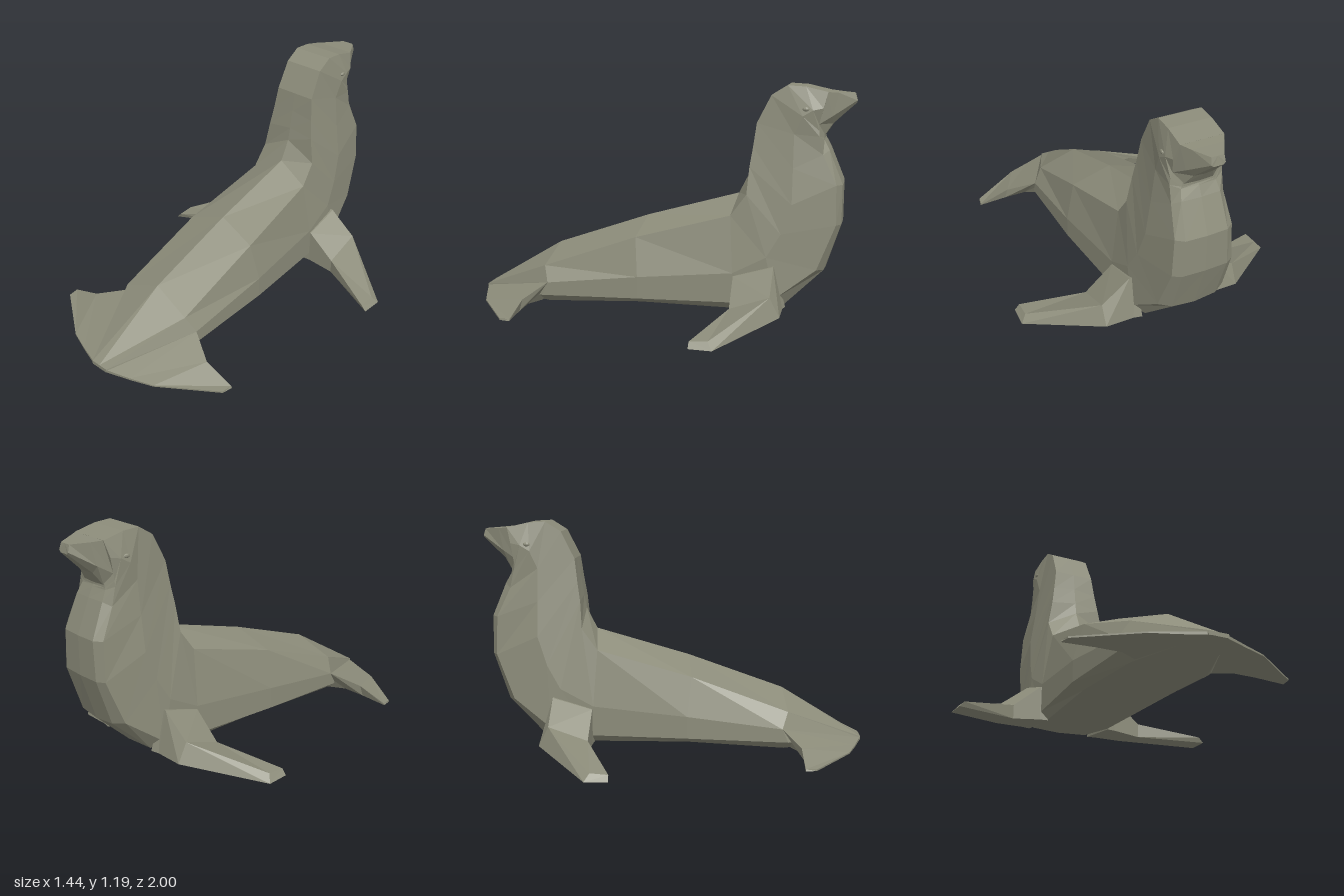
import * as THREE from 'three';

const hide = new THREE.MeshStandardMaterial({ color: 0x8c8c7a });
hide.name = 'hide';
hide.flatShading = true;

// Skin closed rings of [x, y, z] points, cap both ends, and face the result outwards.
function loft(name, rings) {
  const n = rings[0].length;
  const tris = [];
  const quad = (a, b, c, d) => tris.push([a, b, c], [a, c, d]);
  for (let i = 0; i + 1 < rings.length; i++) {
    for (let j = 0; j < n; j++) {
      const k = (j + 1) % n;
      quad(rings[i][j], rings[i][k], rings[i + 1][k], rings[i + 1][j]);
    }
  }
  const first = rings[0], last = rings[rings.length - 1];
  for (let j = 1; j + 1 < n; j++) {
    tris.push([first[0], first[j + 1], first[j]], [last[0], last[j], last[j + 1]]);
  }
  const v = (p) => new THREE.Vector3(...p);
  const volume = tris.reduce((s, [a, b, c]) => s + v(a).dot(v(b).cross(v(c))), 0);
  if (volume < 0) tris.forEach((t) => t.reverse());
  const geometry = new THREE.BufferGeometry();
  geometry.setAttribute('position', new THREE.Float32BufferAttribute(tris.flat(2), 3));
  geometry.computeVertexNormals();
  const mesh = new THREE.Mesh(geometry, hide);
  mesh.name = name;
  return mesh;
}

// Half ring whose first and last points lie on the centre line, completed by mirroring.
const symmetric = (half) => [
  ...half,
  ...half.slice(1, -1).reverse().map(([x, y, z]) => [-x, y, z]),
];

const mirrorX = (rings) => rings.map((r) => r.map(([x, y, z]) => [-x, y, z]));

export function createModel() {
  const model = new THREE.Group();
  model.name = 'seaLion';

  // Each half ring: spine, back edge, flank, lower flank, belly edge, belly centre
  const trunk = [
    [[0, .05, 1], [.05, .05, 1], [.052, .042, 1], [.052, .036, 1], [.05, .03, 1], [0, .03, 1]],
    [[0, .305, .58], [.21, .22, .6], [.26, .14, .57], [.26, .07, .6], [.2, .025, .58], [0, .02, .58]],
    [[0, .48, .08], [.21, .4, .1], [.26, .2, .08], [.26, .085, .08], [.2, .052, .08], [0, .05, .08]],
    [[0, .62, -.41], [.175, .53, -.39], [.22, .24, -.41], [.22, .085, -.41], [.18, .045, -.41], [0, .04, -.41]],
    [[0, .73, -.465], [.17, .64, -.47], [.215, .33, -.58], [.22, .12, -.63], [.16, .075, -.67], [0, .07, -.68]],
  ];
  const neck = [
    [[0, .8, -.478], [.145, .78, -.48], [.2, .45, -.65], [.18, .27, -.83], [.12, .26, -.865], [0, .25, -.87]],
    [[0, .9, -.495], [.13, .88, -.495], [.185, .6, -.7], [.16, .5, -.92], [.12, .5, -.945], [0, .5, -.95]],
    [[0, 1, -.51], [.115, 1, -.51], [.16, .78, -.7], [.15, .7, -.915], [.11, .7, -.945], [0, .7, -.95]],
    [[0, 1.14, -.58], [.11, 1.14, -.58], [.14, .95, -.7], [.135, .85, -.845], [.1, .87, -.875], [0, .87, -.88]],
  ];
  const head = [
    [[0, 1.19, -.66], [.11, 1.19, -.66], [.145, 1.04, -.74], [.135, .94, -.825], [.09, .92, -.848], [0, .92, -.855]],
    [[0, 1.185, -.75], [.11, 1.185, -.75], [.142, 1.07, -.79], [.13, .97, -.822], [.085, .93, -.846], [0, .93, -.85]],
    [[0, 1.16, -.86], [.11, 1.16, -.86], [.13, 1.08, -.84], [.12, 1, -.82], [.08, .945, -.845], [0, .94, -.85]],
  ];
  model.add(loft('body', [...trunk, ...neck, ...head].map(symmetric)));

  // Tapered snout
  model.add(loft('snout', [
    [[0, 1.16, -.855], [.11, 1.16, -.855], [.12, 1, -.82], [.075, .94, -.845], [0, .94, -.85]],
    [[0, 1.155, -.91], [.08, 1.155, -.91], [.09, 1.04, -.885], [.05, 1, -.885], [0, 1, -.89]],
    [[0, 1.15, -.99], [.032, 1.15, -.99], [.035, 1.115, -1], [.025, 1.105, -1], [0, 1.105, -1]],
  ].map(symmetric)));

  // Flipper sections from root to tip, on the left side
  const foreFlipper = [
    [[.18, .23, -.41], [.19, .29, -.62], [.18, .07, -.68], [.18, .04, -.41]],
    [[.225, .225, -.415], [.225, .285, -.62], [.225, .07, -.67], [.225, .04, -.415]],
    [[.375, .1, -.42], [.375, .17, -.62], [.375, .07, -.67], [.375, .025, -.42]],
    [[.69, .028, -.28], [.69, .035, -.37], [.72, 0, -.395], [.715, 0, -.28]],
  ];
  const hindFlipper = [
    [[.2, .15, .54], [.2, .025, .62], [.04, .03, 1], [.04, .045, 1]],
    [[.26, .14, .57], [.29, .025, .67], [.17, .025, .955], [.17, .036, .955]],
    [[.41, .085, .655], [.42, .025, .668], [.29, .025, .91], [.29, .032, .91]],
    [[.575, .032, .66], [.58, .022, .66], [.57, .022, .715], [.57, .03, .715]],
  ];
  for (const [name, rings] of [['foreFlipper', foreFlipper], ['hindFlipper', hindFlipper]]) {
    model.add(loft(name + 'Left', rings), loft(name + 'Right', mirrorX(rings)));
  }

  // Small raised eyes
  for (const side of [1, -1]) {
    const eye = new THREE.Mesh(new THREE.SphereGeometry(1, 8, 6), hide);
    eye.name = side > 0 ? 'eyeLeft' : 'eyeRight';
    eye.scale.set(.008, .011, .018);
    eye.position.set(side * .139, 1.075, -.755);
    model.add(eye);
  }
  return model;
}
